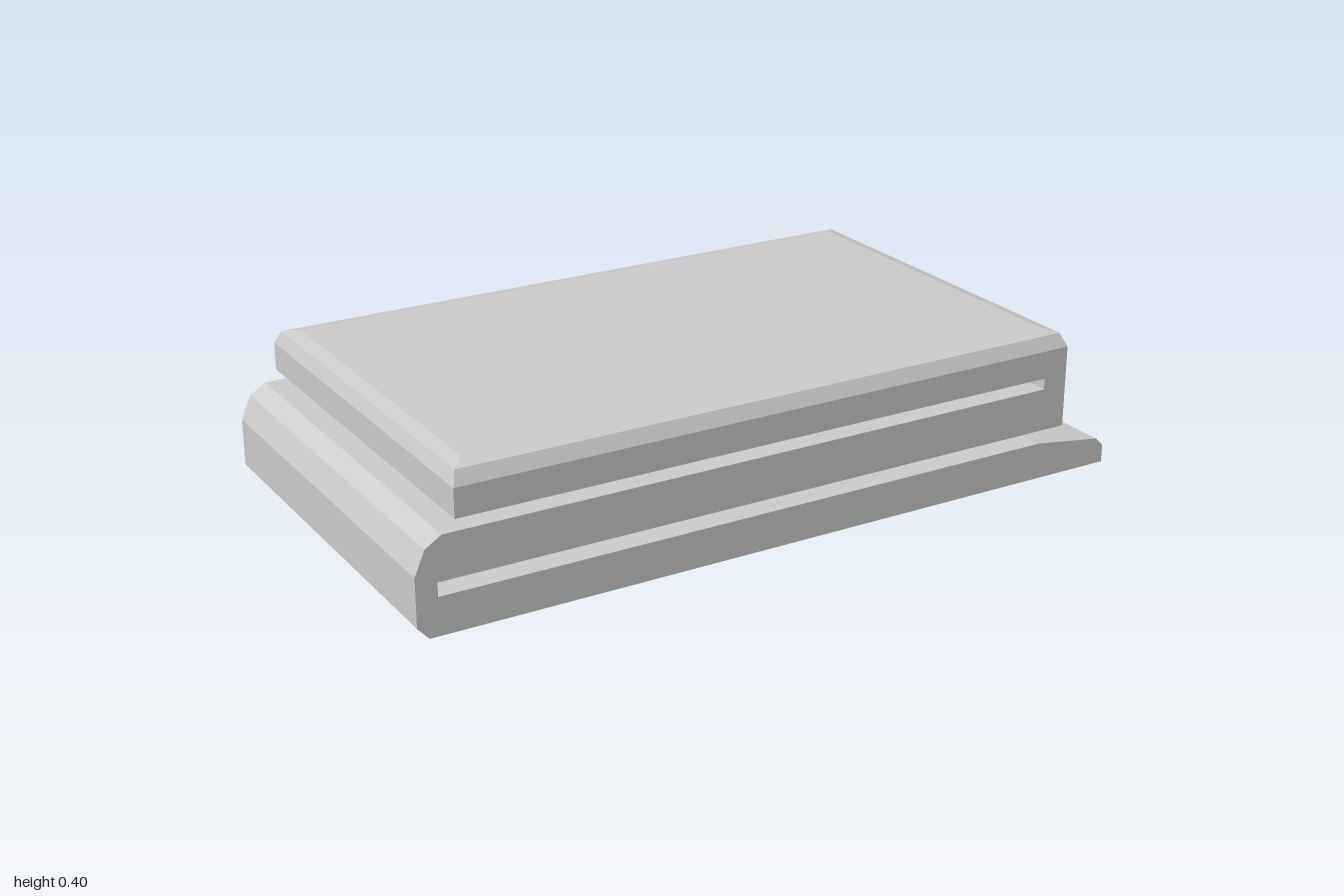
import * as THREE from 'three';

const HALF_DEPTH = 0.54;
const CORE_HALF = 0.46;

export function createModel() {
  const group = new THREE.Group();
  const material = new THREE.MeshStandardMaterial({ color: 0xcccccc, flatShading: true });
  const add = (name, geometry, x = 0, y = 0, z = 0) => {
    const mesh = new THREE.Mesh(geometry, material);
    mesh.name = name;
    mesh.position.set(x, y, z);
    group.add(mesh);
  };

  // S-folded body: one profile with two slots, run front to back
  const profile = [
    [-0.97, 0], [1, 0], [1, 0.047], [0.977, 0.071], [0.78, 0.099],
    [-0.945, 0.099], [-0.945, 0.135], [0.855, 0.135], // lower slot
    [0.855, 0.355], [-0.897, 0.355],
    [-0.897, 0.28], [0.785, 0.28], [0.785, 0.25], // upper slot
    [-0.93, 0.25], [-0.973, 0.223], [-1, 0.16], [-1, 0.033],
  ];
  const shape = new THREE.Shape(profile.map(([x, y]) => new THREE.Vector2(x, y)));
  const body = new THREE.ExtrudeGeometry(shape, { depth: 2 * HALF_DEPTH, bevelEnabled: false });
  add('foldedBody', body, 0, 0, -HALF_DEPTH);

  // Bevelled top: rectangles shrinking upwards [y, inset in x, inset in z]
  const rings = [[0.355, 0, 0], [0.39, 0.014, 0.019], [0.4, 0.05, 0.064]].map(([y, ix, iz]) => {
    const x0 = -0.897 + ix, x1 = 0.855 - ix, z = HALF_DEPTH - iz;
    return [[x0, y, z], [x1, y, z], [x1, y, -z], [x0, y, -z]];
  });
  const positions = [];
  const quad = (a, b, c, d) => positions.push(...a, ...b, ...c, ...a, ...c, ...d);
  for (let r = 0; r < rings.length - 1; r++) {
    for (let i = 0; i < 4; i++) {
      const j = (i + 1) % 4;
      quad(rings[r][i], rings[r][j], rings[r + 1][j], rings[r + 1][i]);
    }
  }
  quad(...rings[rings.length - 1]);
  const top = new THREE.BufferGeometry();
  top.setAttribute('position', new THREE.Float32BufferAttribute(positions, 3));
  top.computeVertexNormals();
  add('bevelledTop', top);

  // Recessed fillers inside the slots
  const filler = (name, x0, x1, y0, y1) =>
    add(name, new THREE.BoxGeometry(x1 - x0, y1 - y0, 2 * CORE_HALF), (x0 + x1) / 2, (y0 + y1) / 2);
  filler('lowerSlotFiller', -0.945, 0.78, 0.099, 0.135);
  filler('upperSlotFiller', -0.866, 0.785, 0.25, 0.28);

  return group;
}
